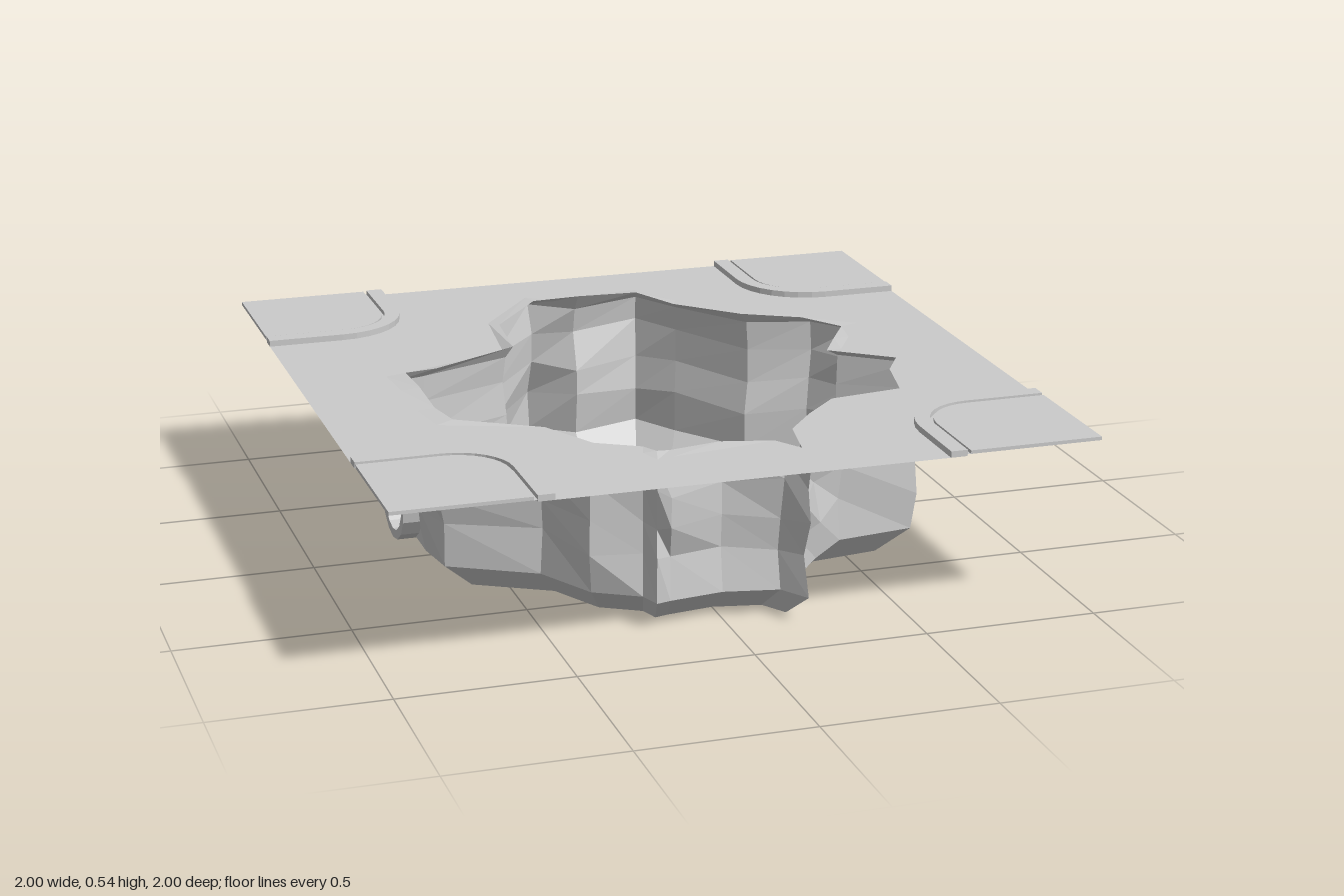
import * as THREE from 'three';

const material = new THREE.MeshStandardMaterial({ color: 0xcccccc, flatShading: true, side: THREE.DoubleSide });
const ROAD_Y = 0.505;

// Broken edge of the hole: x, z, lift of the lip above the road
const rim = [
  [-0.12, -0.77, 0.005], [0, -0.68, 0.035], [0.21, -0.75, 0.01], [0.29, -0.61, 0.004], [0.44, -0.40, 0.018],
  [0.62, -0.35, 0.005], [0.71, -0.24, 0], [0.64, -0.12, 0.004], [0.58, -0.02, 0], [0.75, 0.11, 0],
  [0.69, 0.21, 0], [0.65, 0.39, 0], [0.43, 0.42, 0], [0.32, 0.53, 0], [0.23, 0.64, 0], [0.20, 0.80, 0],
  [0.15, 0.72, 0], [0, 0.69, 0.003], [-0.15, 0.71, 0], [-0.19, 0.72, 0.005], [-0.21, 0.66, 0], [-0.33, 0.59, 0],
  [-0.42, 0.42, 0], [-0.65, 0.29, 0.004], [-0.67, 0.16, 0], [-0.67, -0.02, 0.006], [-0.68, -0.15, 0.01],
  [-0.58, -0.18, 0.005], [-0.32, -0.28, 0.018], [-0.29, -0.55, 0.006],
];

function seeded(seed) {
  return () => (seed = (seed * 16807) % 2147483647) / 2147483647;
}

function mesh(name, geometry) {
  const m = new THREE.Mesh(geometry, material);
  m.name = name;
  return m;
}

// Joins closed rings of points with quads; optionally closes the last ring with a fan
function loft(rings, cap) {
  const n = rings[0].length;
  const pos = rings.flat(2);
  const index = [];
  for (let r = 0; r < rings.length - 1; r++) {
    for (let i = 0; i < n; i++) {
      const a = r * n + i, b = r * n + (i + 1) % n;
      index.push(a, a + n, b, b, a + n, b + n);
    }
  }
  if (cap) {
    const start = (rings.length - 1) * n, c = pos.length / 3;
    pos.push(0, rings.at(-1)[0][1], 0);
    for (let i = 0; i < n; i++) index.push(start + i, c, start + (i + 1) % n);
  }
  const g = new THREE.BufferGeometry();
  g.setAttribute('position', new THREE.Float32BufferAttribute(pos, 3));
  g.setIndex(index);
  g.computeVertexNormals();
  return g;
}

const ring = (scale, y) => rim.map(([x, z]) => [x * scale, y, z * scale]);

// Line of one rounded street corner in the +x +y quadrant
function cornerPoints(edge, radius) {
  const pts = [[edge, 1]];
  for (let i = 0; i <= 8; i++) {
    const a = Math.PI + (i / 8) * Math.PI / 2;
    pts.push([edge + radius + radius * Math.cos(a), edge + radius + radius * Math.sin(a)]);
  }
  pts.push([1, edge]);
  return pts;
}

const shapeFrom = (pts) => new THREE.Shape(pts.map(([x, y]) => new THREE.Vector2(x, y)));

function flat(shape, y, depth = 0) {
  const g = depth
    ? new THREE.ExtrudeGeometry(shape, { depth, bevelEnabled: false })
    : new THREE.ShapeGeometry(shape);
  return g.rotateX(-Math.PI / 2).translate(0, y, 0);
}

export function createModel() {
  const model = new THREE.Group();
  model.name = 'crossroadsWithSinkhole';

  // Road: a cross with rounded inner corners and a hole
  const outer = cornerPoints(0.555, 0.22);
  const outline = [];
  for (const [sx, sy] of [[1, 1], [1, -1], [-1, -1], [-1, 1]]) {
    const quad = outer.map(([x, y]) => [x * sx, y * sy]);
    outline.push(...(sx * sy > 0 ? quad : quad.reverse()));
  }
  const road = shapeFrom(outline);
  road.holes.push(new THREE.Path(rim.map(([x, z]) => new THREE.Vector2(x * 1.08, -z * 1.08))));
  model.add(mesh('road', flat(road, ROAD_Y)));

  // Cracked lip around the hole
  const lip = rim.map(([x, z, lift]) => [x, ROAD_Y + lift, z]);
  model.add(mesh('brokenLip', loft([ring(1.08, ROAD_Y), lip, ring(1.06, 0.487)])));

  // Rugged pit wall, sloping in to a flat floor
  const rand = seeded(41);
  const rough = [0.40, 0.30, 0.20].map((y) => rim.map(([x, z]) => {
    const s = 1.055 + (rand() - 0.5) * 0.07;
    return [x * s, y + (rand() - 0.5) * 0.025, z * s];
  }));
  model.add(mesh('pitWall', loft([ring(1.06, 0.487), ...rough, ring(1.055, 0.08)])));
  model.add(mesh('pitFloor', loft([ring(1.055, 0.08), ring(0.92, 0)], true)));

  // Pipe end sticking through the pit wall
  const profile = [[0.115, -0.07], [0.142, -0.07], [0.142, 0.07], [0.115, 0.07], [0.115, -0.07]];
  const pipe = mesh('brokenPipe', new THREE.LatheGeometry(profile.map(([r, h]) => new THREE.Vector2(r, h)), 16));
  pipe.rotation.z = Math.PI / 2;
  pipe.position.set(-0.69, 0.205, -0.015);
  model.add(pipe);

  // Four corners: curb strip, gutter step and pavement slab
  const curbInner = cornerPoints(0.603, 0.16);
  const slabEdge = cornerPoints(0.613, 0.15);
  const curb = shapeFrom([...outer, ...curbInner.slice().reverse()]);
  const slab = shapeFrom([...slabEdge, [1, 1]]);
  const gap = shapeFrom([...curbInner, ...slabEdge.slice().reverse()]);
  [0, 1, 2, 3].forEach((k) => {
    const corner = new THREE.Group();
    corner.name = 'streetCorner' + (k + 1);
    corner.add(mesh('curb', flat(curb, ROAD_Y, 0.018)));
    corner.add(mesh('curbJoint', flat(gap, 0.510)));
    corner.add(mesh('pavement', flat(slab, 0.510, 0.010)));
    corner.rotation.y = k * Math.PI / 2;
    model.add(corner);
  });

  return model;
}
